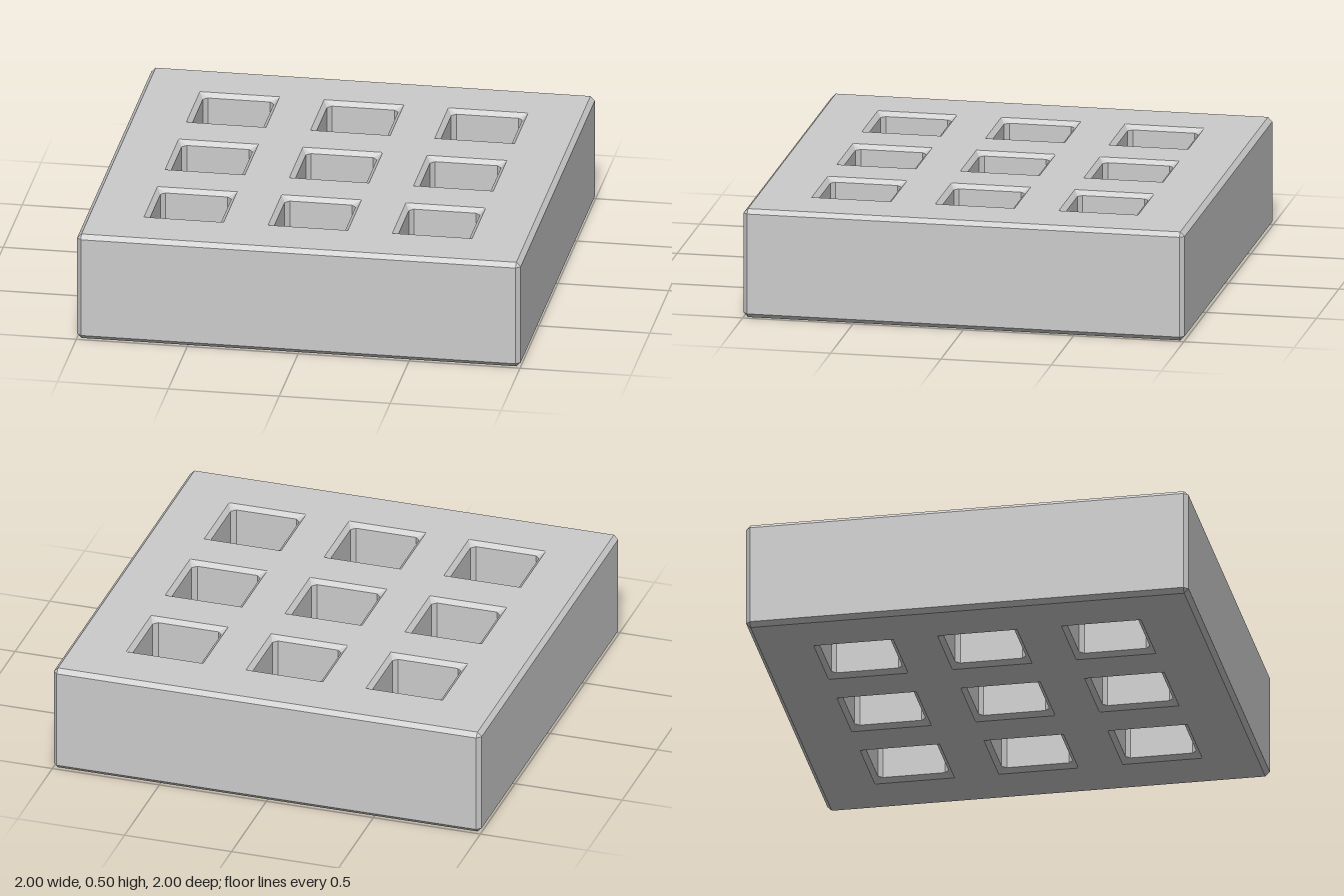
import * as THREE from 'three';

const H = 0.5, B = 0.02; // plate height, bevel size
const OUTER = 1, HOLE = 0.16, PITCH = 0.56;

// Square loop of eight points with its corners cut by c
function ring(half, c, y, cx, cz) {
  const pts = [];
  for (let k = 0; k < 4; k++) {
    for (const p of [[half, half - c], [half - c, half]]) {
      let [x, z] = p;
      for (let i = 0; i < k; i++) [x, z] = [-z, x];
      pts.push(new THREE.Vector3(x + cx, y, z + cz));
    }
  }
  return pts;
}

// Flat-faced wall through stacked rings; inward turns it to face the axis
function wall(rings, inward) {
  const pos = [];
  const tri = (a, b, c) => {
    if (a.distanceTo(b) < 1e-6 || b.distanceTo(c) < 1e-6 || c.distanceTo(a) < 1e-6) return;
    for (const v of inward ? [a, c, b] : [a, b, c]) pos.push(v.x, v.y, v.z);
  };
  for (let i = 0; i < rings.length - 1; i++) {
    const lo = rings[i], up = rings[i + 1];
    for (let j = 0; j < 8; j++) {
      const n = (j + 1) % 8;
      tri(lo[j], up[j], lo[n]);
      tri(up[j], up[n], lo[n]);
    }
  }
  const g = new THREE.BufferGeometry();
  g.setAttribute('position', new THREE.Float32BufferAttribute(pos, 3));
  g.computeVertexNormals();
  return g;
}

// Wall bevelled at both ends: rim is the half width at top and bottom
function bevelledWall(half, rim, cx, cz, inward) {
  return wall([
    ring(rim, 0, 0, cx, cz),
    ring(half, B, B, cx, cz),
    ring(half, B, H - B, cx, cz),
    ring(rim, 0, H, cx, cz),
  ], inward);
}

function square(Type, half, cx = 0, cy = 0) {
  return new Type([[-1, -1], [1, -1], [1, 1], [-1, 1]]
    .map(([x, y]) => new THREE.Vector2(cx + x * half, cy + y * half)));
}

export function createModel() {
  const group = new THREE.Group();
  group.name = 'perforatedPlate';
  const material = new THREE.MeshStandardMaterial({ color: 0xcccccc, flatShading: true });
  const add = (name, geometry) => {
    const mesh = new THREE.Mesh(geometry, material);
    mesh.name = name;
    group.add(mesh);
    return mesh;
  };

  // Outer sides with bevelled edges
  add('outerSides', bevelledWall(OUTER, OUTER - B, 0, 0, false));

  // Three by three grid of square through-holes
  const face = square(THREE.Shape, OUTER - B);
  for (const row of [-1, 0, 1]) {
    for (const col of [-1, 0, 1]) {
      const x = col * PITCH, z = row * PITCH;
      add('holeWall', bevelledWall(HOLE, HOLE + B, x, z, true));
      face.holes.push(square(THREE.Path, HOLE + B, x, z));
    }
  }

  // Pierced top and bottom faces
  add('topFace', new THREE.ShapeGeometry(face).rotateX(-Math.PI / 2).translate(0, H, 0));
  add('bottomFace', new THREE.ShapeGeometry(face).rotateX(Math.PI / 2));

  return group;
}
